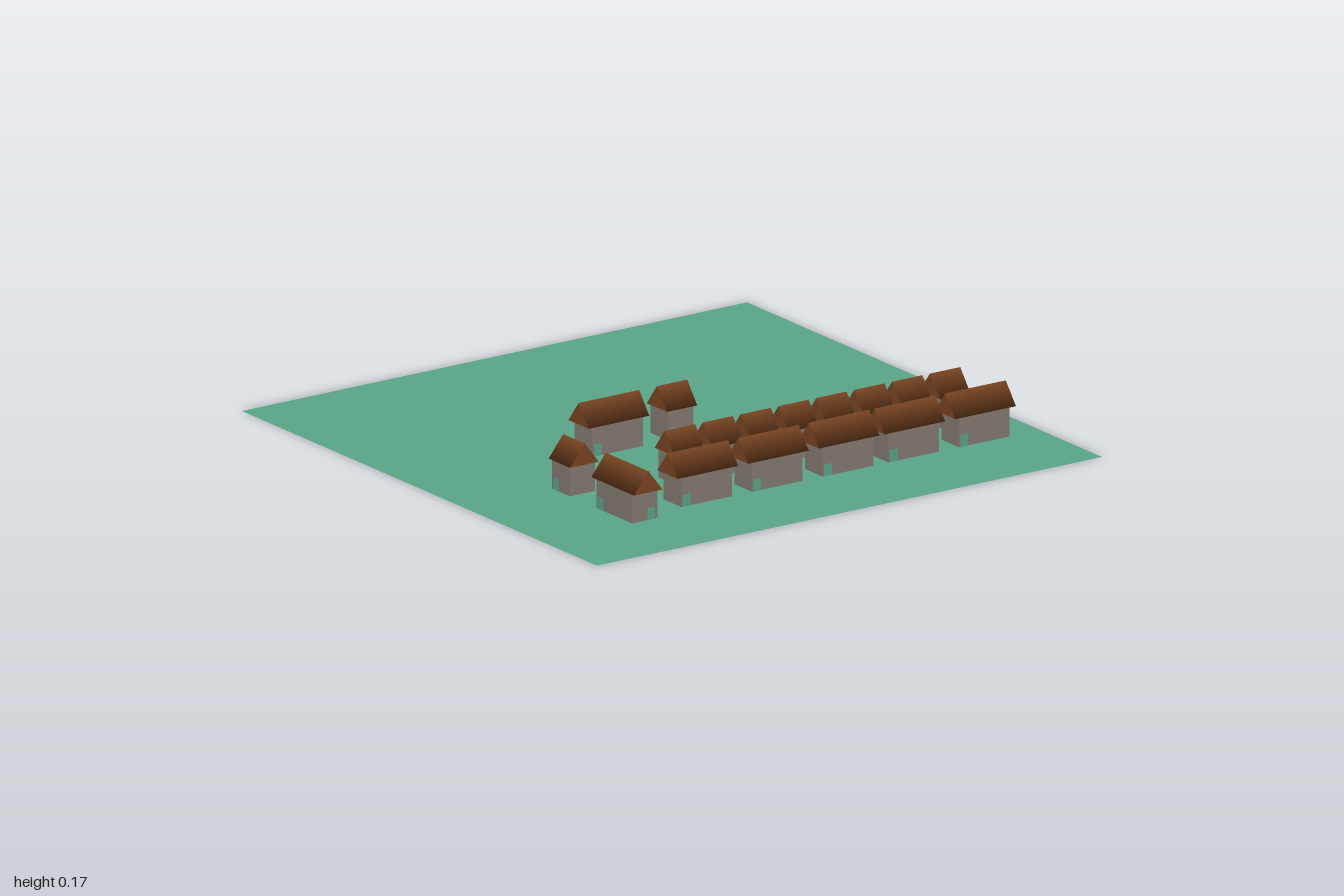
import * as THREE from 'three';

const grass = new THREE.MeshStandardMaterial({ color: 0x5aa688, side: THREE.DoubleSide });
grass.name = 'grassGreen';
const stone = new THREE.MeshStandardMaterial({ color: 0x857b72 });
stone.name = 'stoneGrey';
const tile = new THREE.MeshStandardMaterial({ color: 0x7a4522 });
tile.name = 'roofBrown';

const WALL_H = 0.1, DEPTH = 0.1, ROOF_H = 0.073, ROOF_W = 0.114;

function addMesh(group, name, geometry, material, x, y, z) {
  const mesh = new THREE.Mesh(geometry, material);
  mesh.name = name;
  mesh.position.set(x, y, z);
  group.add(mesh);
  return mesh;
}

// Three-sided, softly shaded prism, ridge along x, eaves at y = 0
function roofGeometry(length) {
  const g = new THREE.CylinderGeometry(1, 1, length, 3);
  g.rotateX(Math.PI / 2);                       // axis along z
  g.computeBoundingBox();
  // cylinder starts at an angle that points its first corner down: turn it up
  if (Math.abs(g.boundingBox.min.y + 1) < 0.01) g.rotateZ(Math.PI);
  g.translate(0, 0.5, 0);
  g.scale(ROOF_W / Math.sqrt(3), ROOF_H / 1.5, 1);
  g.rotateY(Math.PI / 2);                       // axis along x
  return g;
}

// House with its ridge along x and its door on the long +z side
function house(name, length, overhang, doorX, hasGableDoor) {
  const g = new THREE.Group();
  g.name = name;
  addMesh(g, 'walls', new THREE.BoxGeometry(length, WALL_H, DEPTH), stone, 0, WALL_H / 2, 0);
  addMesh(g, 'roof', roofGeometry(length + overhang * 2), tile, 0, WALL_H + 0.001, 0);
  const door = new THREE.BoxGeometry(0.03, 0.04, 0.002);
  addMesh(g, 'frontDoor', door, grass, doorX, 0.02, DEPTH / 2);
  if (hasGableDoor) {
    addMesh(g, 'gableDoor', door, grass, length / 2, 0.02, -0.025).rotation.y = Math.PI / 2;
  }
  return g;
}

const longHouse = () => house('longHouse', 0.2, 0.02, -0.08, true);
const smallHouse = () => house('smallHouse', 0.1, 0.01, -0.03, false);

export function createModel() {
  const village = new THREE.Group();
  village.name = 'village';

  // Square of grass
  const ground = addMesh(village, 'ground', new THREE.PlaneGeometry(2, 2), grass, 0, 0, 0);
  ground.rotation.x = -Math.PI / 2;

  const place = (h, x, z, turn = 0) => {
    h.position.set(x, 0, z);
    h.rotation.y = turn;
    village.add(h);
  };

  // Front row of long houses
  for (const x of [-0.32, -0.04, 0.24, 0.5, 0.78]) place(longHouse(), x, 0.6);
  // Second row of small houses
  for (let i = 0; i < 8; i++) place(smallHouse(), -0.25 + i * 0.15, 0.4);
  // Pair at the centre
  place(longHouse(), -0.25, 0);
  place(smallHouse(), 0, 0);
  // Pair turned sideways
  place(longHouse(), -0.6, 0.6, -Math.PI / 2);
  place(smallHouse(), -0.6, 0.3, -Math.PI / 2);

  return village;
}
